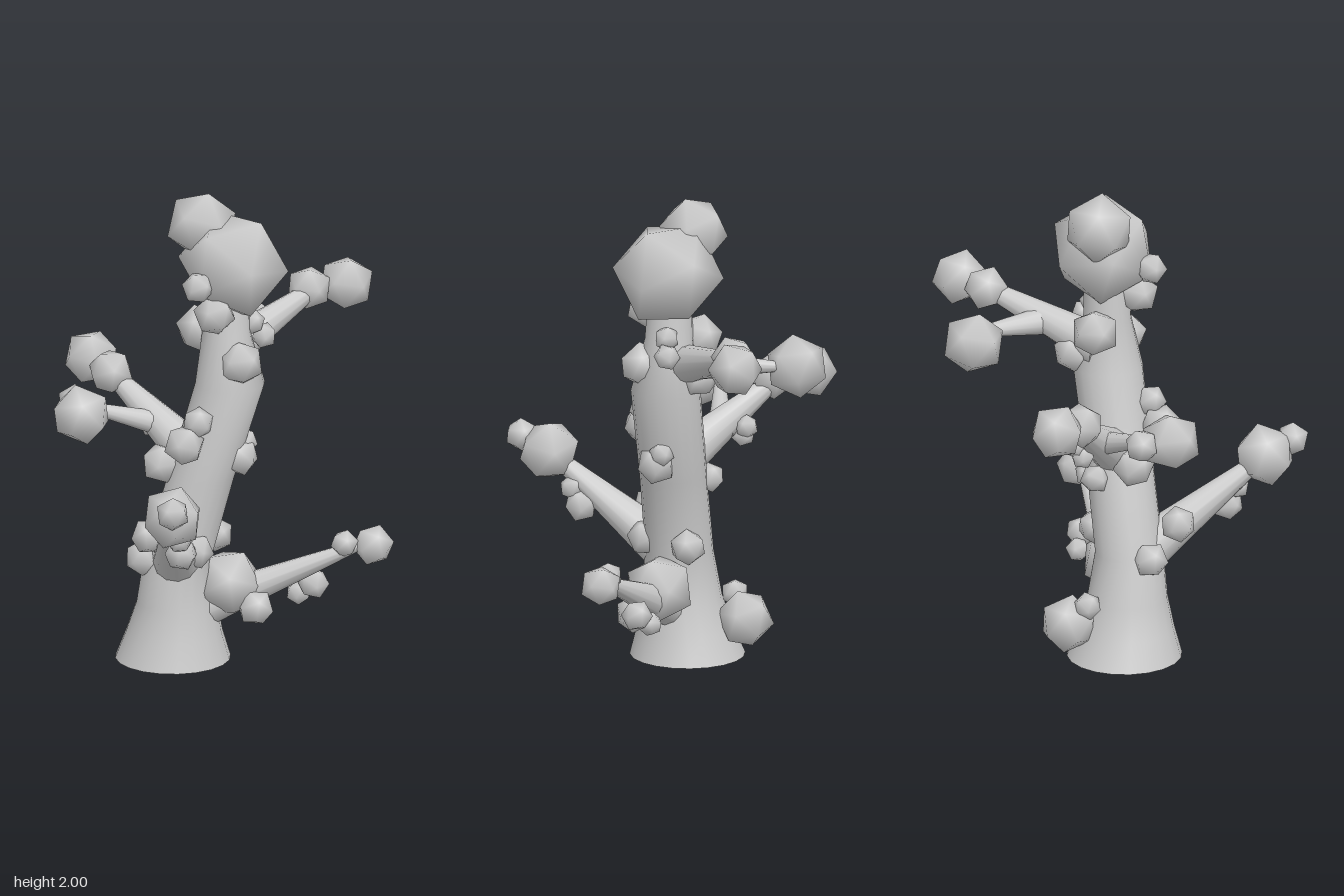
import * as THREE from 'three';

const material = new THREE.MeshStandardMaterial({ color: 0xcccccc });
const V = (x, y, z) => new THREE.Vector3(x, y, z);

// Faceted outline with smooth, round shading
function ballGeometry() {
  const geo = new THREE.IcosahedronGeometry(1, 0);
  geo.setAttribute('normal', geo.attributes.position.clone());
  return geo;
}

// Stacked horizontal rings [y, x, z, radius] moved onto a tube
function trunkGeometry(rings) {
  const geo = new THREE.CylinderGeometry(1, 1, 1, 20, rings.length - 1, true);
  const p = geo.attributes.position;
  for (let i = 0; i < p.count; i++) {
    const k = Math.round((p.getY(i) + 0.5) * (rings.length - 1));
    const [y, x, z, r] = rings[k];
    p.setXYZ(i, x + p.getX(i) * r, y, z + p.getZ(i) * r);
  }
  geo.computeVertexNormals();
  // keep shading continuous across the seam
  const n = geo.attributes.normal;
  for (let k = 0; k < rings.length; k++) {
    const a = k * 21, b = a + 20;
    const m = V(n.getX(a) + n.getX(b), n.getY(a) + n.getY(b), n.getZ(a) + n.getZ(b)).normalize();
    n.setXYZ(a, m.x, m.y, m.z);
    n.setXYZ(b, m.x, m.y, m.z);
  }
  return geo;
}

export function createModel() {
  const group = new THREE.Group();
  const add = (geo, name) => {
    const mesh = new THREE.Mesh(geo, material);
    mesh.name = name;
    group.add(mesh);
    return mesh;
  };

  // Leaning trunk with a flared foot and a narrower neck
  add(trunkGeometry([
    [0, -0.2, -0.06, 0.24],
    [0.12, -0.195, -0.05, 0.2],
    [0.25, -0.185, -0.04, 0.168],
    [0.45, -0.182, -0.03, 0.142],
    [0.8, -0.085, -0.03, 0.14],
    [1.2, 0.035, -0.03, 0.145],
    [1.42, 0.02, -0.04, 0.1],
    [1.75, 0.02, -0.05, 0.085],
  ]), 'trunk');
  const base = add(new THREE.CircleGeometry(0.24, 20), 'trunkBase');
  base.rotation.x = Math.PI / 2;
  base.position.set(-0.2, 0, -0.06);

  // Tapered branches: name, start, end, start radius, end radius
  const branches = [
    ['lowerBranch', V(-0.12, 0.21, -0.02), V(0.56, 0.51, 0.09), 0.09, 0.022],
    ['frontBranch', V(-0.19, 0.42, 0), V(-0.26, 0.8, 0.54), 0.105, 0.03],
    ['backBranch', V(-0.1, 0.86, -0.05), V(-0.45, 1.16, -0.4), 0.1, 0.03],
    ['backTwig', V(-0.2, 0.96, -0.2), V(-0.57, 1.09, -0.1), 0.055, 0.02],
    ['upperBranch', V(0, 1.3, -0.08), V(0.45, 1.48, -0.44), 0.09, 0.03],
    ['upperTwig', V(0.2, 1.37, -0.24), V(0.17, 1.38, -0.58), 0.06, 0.018],
  ];
  for (const [name, a, b, ra, rb] of branches) {
    const dir = b.clone().sub(a);
    const mesh = add(new THREE.CylinderGeometry(rb, ra, dir.length(), 12), name);
    mesh.position.copy(a).add(b).multiplyScalar(0.5);
    mesh.quaternion.setFromUnitVectors(V(0, 1, 0), dir.normalize());
  }

  // Foliage balls: x, y, z, radius
  const foliage = {
    crownFoliage: [[0.05, 1.71, -0.045, 0.225], [-0.075, 1.86, -0.12, 0.145]],
    lowerFoliage: [[0.5, 0.52, 0.09, 0.058], [0.62, 0.51, 0.09, 0.085], [0.32, 0.27, -0.04, 0.052],
      [0.38, 0.32, 0, 0.065], [0.025, 0.335, 0, 0.145], [0.13, 0.25, 0.08, 0.078]],
    frontFoliage: [[-0.26, 0.81, 0.55, 0.13], [-0.27, 0.865, 0.67, 0.07],
      [-0.22, 0.67, 0.44, 0.052], [-0.21, 0.6, 0.4, 0.07]],
    backFoliage: [[-0.5, 1.17, -0.5, 0.115], [-0.43, 1.15, -0.36, 0.095], [-0.585, 1.08, -0.02, 0.125],
      [-0.6, 1.09, -0.16, 0.072], [-0.25, 0.98, -0.3, 0.05], [-0.27, 0.94, -0.28, 0.05]],
    upperFoliage: [[0.4, 1.47, -0.42, 0.093], [0.56, 1.47, -0.47, 0.115], [0.1, 1.365, -0.61, 0.13],
      [0.13, 1.45, -0.06, 0.053], [0.18, 1.385, -0.075, 0.055]],
  };
  // Small growths along the trunk
  const growths = [
    [-0.11, 1.66, 0.1, 0.067], [-0.04, 1.53, 0.07, 0.087], [-0.08, 1.4, -0.14, 0.1],
    [0.07, 1.31, 0.06, 0.095], [0.06, 1.27, -0.18, 0.08], [-0.11, 1.07, 0.1, 0.065],
    [-0.17, 0.98, 0.12, 0.085], [0.07, 0.885, 0, 0.082], [0.1, 0.94, -0.03, 0.052],
    [-0.15, 0.78, -0.17, 0.062], [-0.25, 0.85, -0.04, 0.085], [-0.32, 0.59, 0.13, 0.075],
    [-0.33, 0.455, 0, 0.075], [-0.02, 0.51, -0.11, 0.076], [-0.12, 0.51, 0.1, 0.075],
    [-0.19, 0.17, -0.31, 0.12], [-0.25, 0.26, -0.25, 0.058],
  ];
  const geo = ballGeometry();
  let seed = 1;
  const rnd = () => (seed = (seed * 16807) % 2147483647) / 2147483647;
  for (const [name, list] of [...Object.entries(foliage), ['trunkFoliage', growths]]) {
    for (const [x, y, z, r] of list) {
      const ball = add(geo, name);
      ball.position.set(x, y, z);
      ball.scale.setScalar(r * 1.03);
      ball.rotation.set(rnd() * 6, rnd() * 6, rnd() * 6);
    }
  }
  return group;
}
